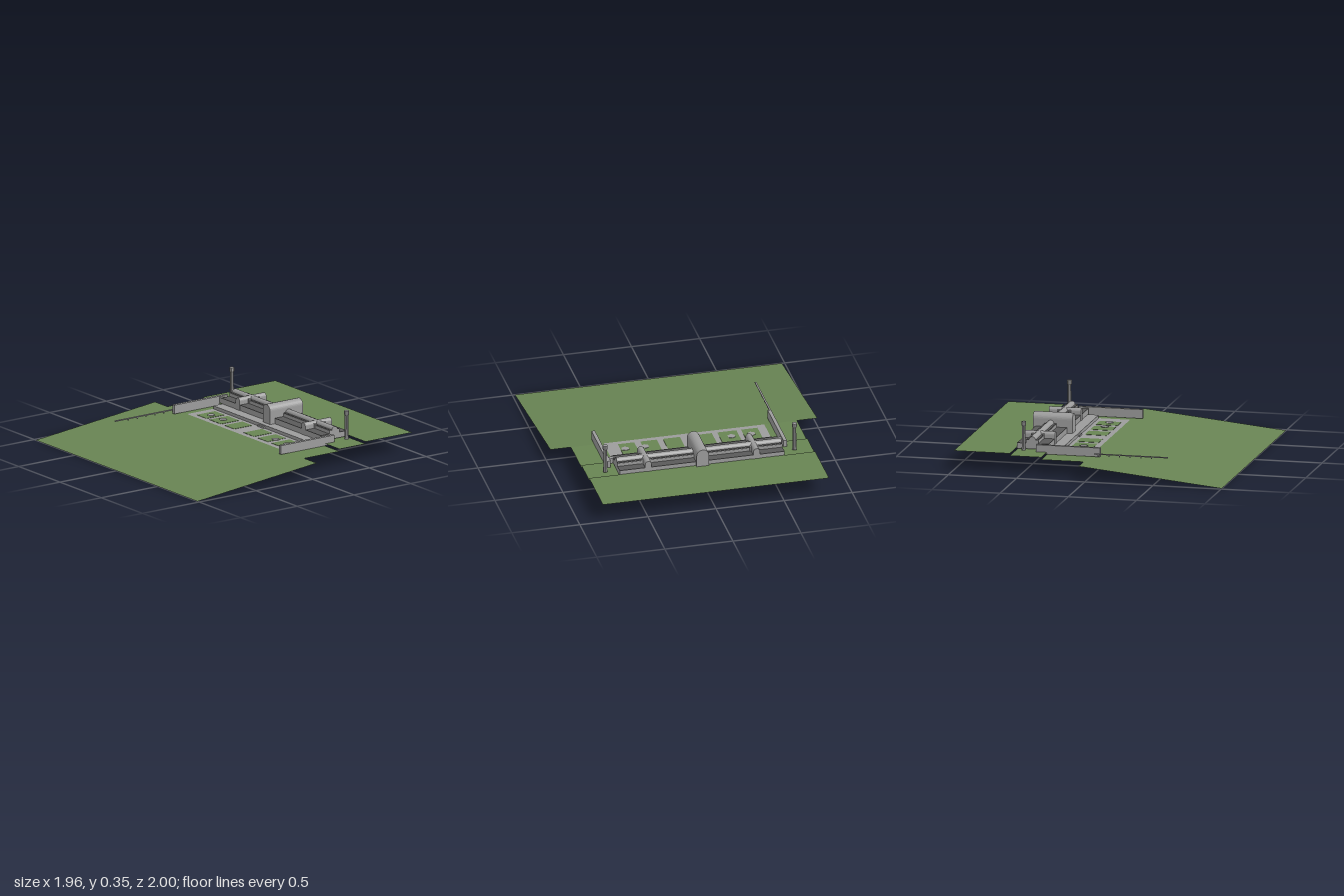
import * as THREE from 'three';

const mat = (name, color, extra = {}) => {
  const m = new THREE.MeshStandardMaterial({ color, ...extra });
  m.name = name;
  return m;
};

export function createModel() {
  const root = new THREE.Group();
  root.name = 'palaceGrounds';
  const grass = mat('grass', 0x688453, { side: THREE.DoubleSide });
  const stone = mat('stone', 0x9c9c9c);
  const paving = mat('paving', 0x9c9c9c, { side: THREE.DoubleSide });
  const roof = mat('roof', 0x5a5a5a);

  const add = (name, geo, m, x = 0, y = 0, z = 0) => {
    const mesh = new THREE.Mesh(geo, m);
    mesh.name = name;
    mesh.position.set(x, y, z);
    root.add(mesh);
    return mesh;
  };
  // box from its min and max corners
  const box = (name, m, x0, x1, y0, y1, z0, z1) =>
    add(name, new THREE.BoxGeometry(x1 - x0, y1 - y0, z1 - z0), m, (x0 + x1) / 2, (y0 + y1) / 2, (z0 + z1) / 2);
  // sheet spanning x0..x1, from (z0, y0) at the back to (z1, y1) at the front
  const sheet = (name, m, x0, x1, z0, y0, z1, y1 = y0) => {
    const g = new THREE.PlaneGeometry(x1 - x0, Math.hypot(z1 - z0, y1 - y0));
    g.rotateX(-Math.PI / 2 + Math.atan2(y0 - y1, z1 - z0));
    return add(name, g, m, (x0 + x1) / 2, (y0 + y1) / 2, (z0 + z1) / 2);
  };
  // block with a rounded vault on top, running along z
  const vault = (name, x, r, y0, top, z0, z1) => {
    const s = new THREE.Shape();
    s.moveTo(-r, y0);
    s.lineTo(r, y0);
    s.lineTo(r, top - r);
    s.absarc(0, top - r, r, 0, Math.PI, false);
    s.lineTo(-r, y0);
    const g = new THREE.ExtrudeGeometry(s, { depth: z1 - z0, bevelEnabled: false, curveSegments: 8 });
    return add(name, g, stone, x, 0, z0);
  };

  // ground: sloping front lawn, courtyard level, building level, rear level
  const yard = 0.107, mid = 0.124, rear = 0.14;
  sheet('frontLawn', grass, -0.98, 0.98, -0.05, yard, 1, 0);
  sheet('middleGround', grass, -0.83, 0.83, -0.59, mid, -0.36);
  sheet('rearLawn', grass, -0.83, 0.83, -1, rear, -0.59);
  sheet('courtyard', paving, -0.59, 0.59, -0.36, yard, -0.05);
  for (const [a, b] of [[-0.83, -0.59], [0.59, 0.83]]) sheet('courtyardSideLawn', grass, a, b, -0.36, yard, -0.05);

  // courtyard lawns and basins
  for (const [a, b] of [[-0.53, -0.41], [-0.375, -0.235], [-0.195, -0.075], [0.04, 0.165], [0.21, 0.33], [0.375, 0.495]])
    box('lawnBed', grass, a, b, yard, yard + 0.002, -0.25, -0.09);
  for (const x of [-0.465, -0.32, 0.315, 0.46])
    add('basin', new THREE.CylinderGeometry(0.03, 0.03, 0.005, 6), stone, x, yard + 0.0025, -0.17);

  // terrace in front of the main building
  box('terrace', stone, -0.59, 0.59, yard, 0.13, -0.38, -0.28);
  box('terraceSteps', stone, -0.035, 0.035, yard, 0.12, -0.28, -0.268);

  // main building: two stepped storeys under a long vault
  const w = 0.605;
  box('lowerStorey', stone, -w, w, 0.13, 0.168, -0.59, -0.36);
  box('upperStorey', stone, -w, w, 0.168, 0.195, -0.525, -0.435);
  for (const [a, b] of [[-0.59, -0.525], [-0.435, -0.36]]) box('lowerRoof', roof, -w, w, 0.168, 0.171, a, b);
  for (const [a, b] of [[-0.522, -0.505], [-0.455, -0.438]]) box('upperRoof', roof, -w, w, 0.195, 0.198, a, b);
  const barrel = new THREE.CylinderGeometry(0.025, 0.025, 2 * w, 16);
  barrel.rotateZ(Math.PI / 2);
  add('longVault', barrel, stone, 0, 0.195, -0.48);

  // central hall and cross halls
  vault('centralHall', 0, 0.045, 0.125, 0.27, -0.61, -0.32);
  for (const x of [-0.4, 0.395]) {
    vault('crossHall', x, 0.024, 0.13, 0.22, -0.593, -0.357);
    for (const z of [-0.52, -0.44]) box('crossHallShoulder', stone, x - 0.035, x + 0.035, 0.165, 0.205, z - 0.008, z + 0.008);
  }

  for (const s of [-1, 1]) {
    // long side wings with a link to the building
    const wing = box('sideWing', stone, -0.0125, 0.0125, 0.11, 0.175, -0.44, 0.03);
    wing.position.x = s * 0.647;
    const link = box('wingLink', stone, -0.018, 0.018, 0.13, 0.168, -0.395, -0.365);
    link.position.x = s * 0.62;

    // tall towers with flared foot and head
    const profile = [[0, 0], [0.017, 0], [0.014, 0.03], [0.013, 0.175], [0.018, 0.185], [0.018, 0.21], [0, 0.21]];
    const tower = new THREE.LatheGeometry(profile.map(p => new THREE.Vector2(...p)), 8).toNonIndexed();
    tower.computeVertexNormals();
    add('tower', tower, stone, s * 0.695, rear, -0.52);
  }

  // slender raised channel with short supports
  box('channel', stone, -0.676, -0.664, 0.129, 0.136, -0.01, 0.53);
  for (let i = 0; i < 6; i++) {
    const z = 0.02 + i * 0.078;
    box('channelSupport', stone, -0.674, -0.666, 0.118, 0.129, z - 0.003, z + 0.003);
  }
  return root;
}
